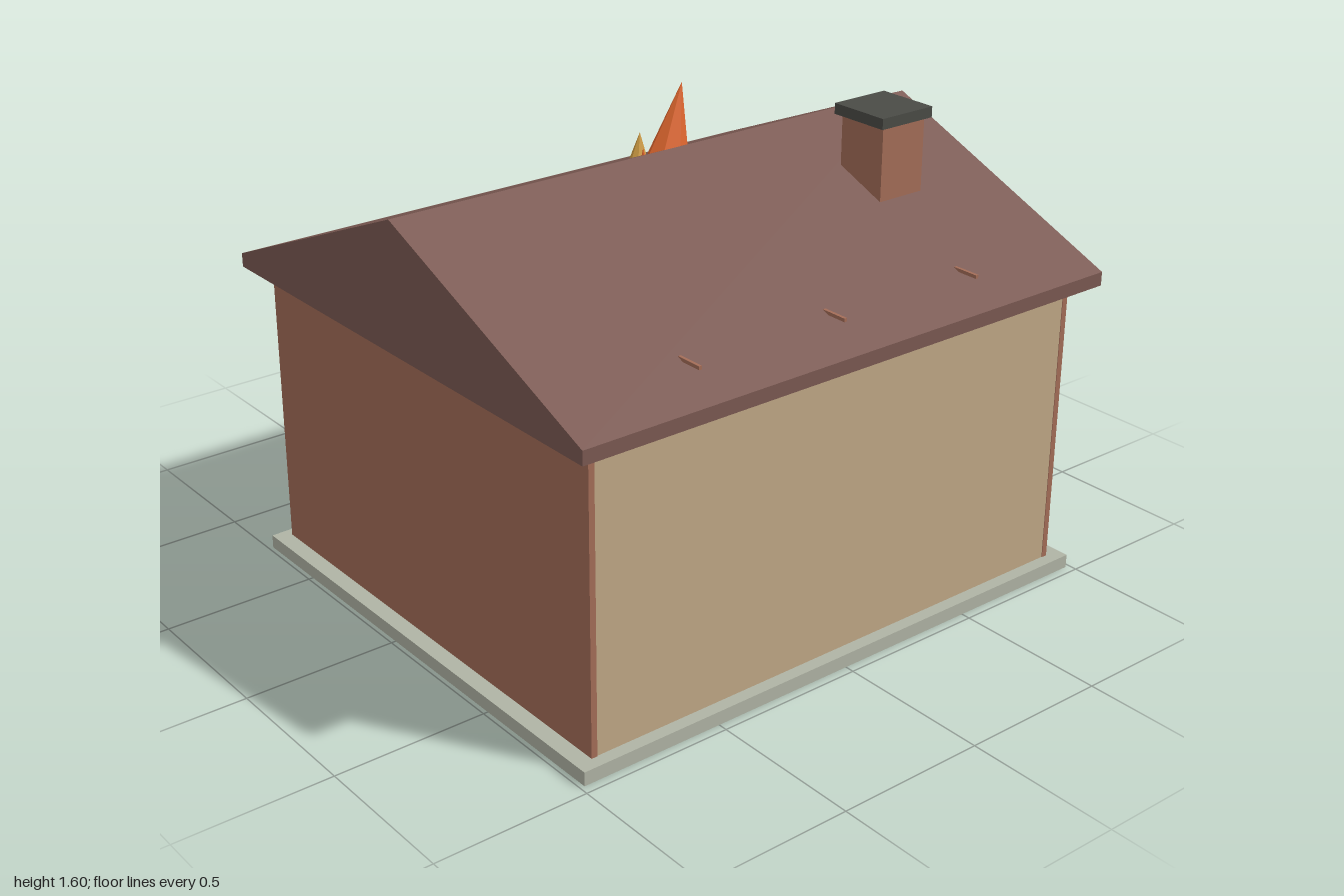
import * as THREE from 'three';

const mat = (name, color) => {
  const m = new THREE.MeshStandardMaterial({ color });
  m.name = name;
  return m;
};

export function createModel() {
  const house = new THREE.Group();
  house.name = 'burningHouse';

  const tan = mat('tan plaster', 0xc0a886);
  const brick = mat('red brick', 0xa46d58);
  const roofRed = mat('roof brown', 0x7b5952);
  const stone = mat('pale stone', 0xb0b4a5);
  const charcoal = mat('charcoal', 0x4a4b46);
  const orange = mat('flame orange', 0xe2682f);
  const yellow = mat('flame yellow', 0xcf9c42);
  const smoke = mat('smoke grey', 0xa89a84);

  const add = (parent, name, geo, material) => {
    const mesh = new THREE.Mesh(geo, material);
    mesh.name = name;
    parent.add(mesh);
    return mesh;
  };
  // Box given by its minimum and maximum on each axis
  const box = (parent, name, m, x0, x1, y0, y1, z0, z1) => {
    const mesh = add(parent, name, new THREE.BoxGeometry(x1 - x0, y1 - y0, z1 - z0), m);
    mesh.position.set((x0 + x1) / 2, (y0 + y1) / 2, (z0 + z1) / 2);
    return mesh;
  };
  const group = (name, x = 0) => {
    const g = new THREE.Group();
    g.name = name;
    g.position.x = x;
    house.add(g);
    return g;
  };

  // Foundation and hollow room
  box(house, 'foundation', stone, -0.985, 0.985, 0, 0.045, -0.76, 0.97);
  box(house, 'floor', brick, -0.91, 0.91, 0.045, 0.05, -0.7, 0.9);
  for (const s of [-1, 1]) {
    const wall = box(house, 'sideWall', brick, -0.01, 0.01, 0.045, 1.0, -0.725, 0.93);
    wall.position.x = s * 0.92;
  }
  box(house, 'frontWall', tan, -0.91, 0.91, 0.045, 1.0, 0.905, 0.928);
  box(house, 'frontWallLining', brick, -0.91, 0.91, 0.045, 1.0, 0.9, 0.905);

  // Back wall with the door opening cut out
  const backShape = new THREE.Shape([
    [-0.91, 0.045], [-0.2, 0.045], [-0.2, 0.68], [0.2, 0.68],
    [0.2, 0.045], [0.91, 0.045], [0.91, 1.0], [-0.91, 1.0],
  ].map(([x, y]) => new THREE.Vector2(x, y)));
  const extrude = (shape, depth) =>
    new THREE.ExtrudeGeometry(shape, { depth, bevelEnabled: false });
  add(house, 'backWall', extrude(backShape, 0.018), tan).position.z = -0.723;
  add(house, 'backWallLining', extrude(backShape, 0.005), brick).position.z = -0.705;

  // Door frame
  const door = group('doorFrame');
  for (const s of [-1, 1]) {
    box(door, 'doorPost', stone, -0.025, 0.025, 0.045, 0.675, -0.756, -0.7).position.x = s * 0.215;
  }
  box(door, 'doorHead', stone, -0.24, 0.24, 0.675, 0.725, -0.756, -0.7);

  // Gable roof, extruded along x
  const gable = new THREE.Shape([
    [-1.0, 1.0], [0.79, 1.0], [0.79, 1.045], [-0.105, 1.415], [-1.0, 1.045],
  ].map(([x, y]) => new THREE.Vector2(x, y)));
  const roofGeo = extrude(gable, 2);
  roofGeo.translate(0, 0, -1).rotateY(Math.PI / 2);
  add(house, 'roof', roofGeo, roofRed);

  // Small pegs poking out of the front slope
  for (const x of [-0.535, 0, 0.535]) {
    box(house, 'roofPeg', brick, x - 0.005, x + 0.005, 1.11, 1.121, 0.82, 0.91);
  }

  // Chimney
  box(house, 'chimneyStack', brick, 0.51, 0.685, 1.15, 1.485, 0.335, 0.515);
  box(house, 'chimneyCap', charcoal, 0.492, 0.702, 1.485, 1.52, 0.318, 0.53);

  // Faceted flame: rings that bulge low down and lean towards the tip
  const flame = (parent, name, m, [cx, cz], [rx, rz], y0, [tx, ty, tz], turn = 0) => {
    const profile = [[0, 0], [0.72, 0], [1, 0.14], [0.86, 0.4], [0, 1]]
      .map(([r, h]) => new THREE.Vector2(r, h));
    const geo = new THREE.LatheGeometry(profile, 7, turn).toNonIndexed();
    const p = geo.attributes.position;
    for (let i = 0; i < p.count; i++) {
      const h = p.getY(i);
      const lean = Math.pow(h, 1.4);
      p.setXYZ(i, cx + p.getX(i) * rx + (tx - cx) * lean, y0 + h * (ty - y0),
        cz + p.getZ(i) * rz + (tz - cz) * lean);
    }
    geo.computeVertexNormals();
    add(parent, name, geo, m);
  };

  // Two burning windows in the back wall
  for (const x of [-0.555, 0.555]) {
    const w = group('burningWindow', x);
    box(w, 'windowPane', charcoal, -0.155, 0.155, 0.37, 0.71, -0.729, -0.722);
    for (const s of [-1, 1]) {
      box(w, 'windowJamb', stone, -0.0175, 0.0175, 0.37, 0.73, -0.745, -0.72).position.x = s * 0.17;
    }
    box(w, 'windowHead', stone, -0.1875, 0.1875, 0.7, 0.73, -0.745, -0.72);
    box(w, 'windowLintel', charcoal, -0.22, 0.22, 0.73, 0.795, -0.738, -0.72);
    box(w, 'windowSill', charcoal, -0.23, 0.23, 0.34, 0.37, -0.785, -0.72);
    flame(w, 'mainFlame', orange, [0.025, -0.815], [0.125, 0.065], 0.36, [0.1, 0.92, -0.795], 0.2);
    flame(w, 'sideFlame', orange, [-0.12, -0.8], [0.075, 0.045], 0.36, [-0.13, 0.7, -0.79], 0.6);
    flame(w, 'innerFlame', yellow, [-0.01, -0.9], [0.095, 0.052], 0.36, [0.015, 0.76, -0.895], 0.4);
    flame(w, 'smokeTongue', smoke, [0.0, -0.965], [0.053, 0.035], 0.36, [0.01, 0.575, -0.965], 0.1);
  }

  // Fire breaking through the ridge
  const ridge = group('ridgeFire');
  flame(ridge, 'ridgeFlame', orange, [0.025, 0.045], [0.085, 0.055], 1.24, [0.095, 1.6, 0.055], 0.2);
  flame(ridge, 'ridgeSideFlame', orange, [-0.05, 0.06], [0.03, 0.025], 1.25, [-0.06, 1.42, 0.06], 0.6);
  flame(ridge, 'ridgeInnerFlame', yellow, [0.0, -0.045], [0.042, 0.03], 1.27, [0.01, 1.43, -0.045], 0.4);

  return house;
}
